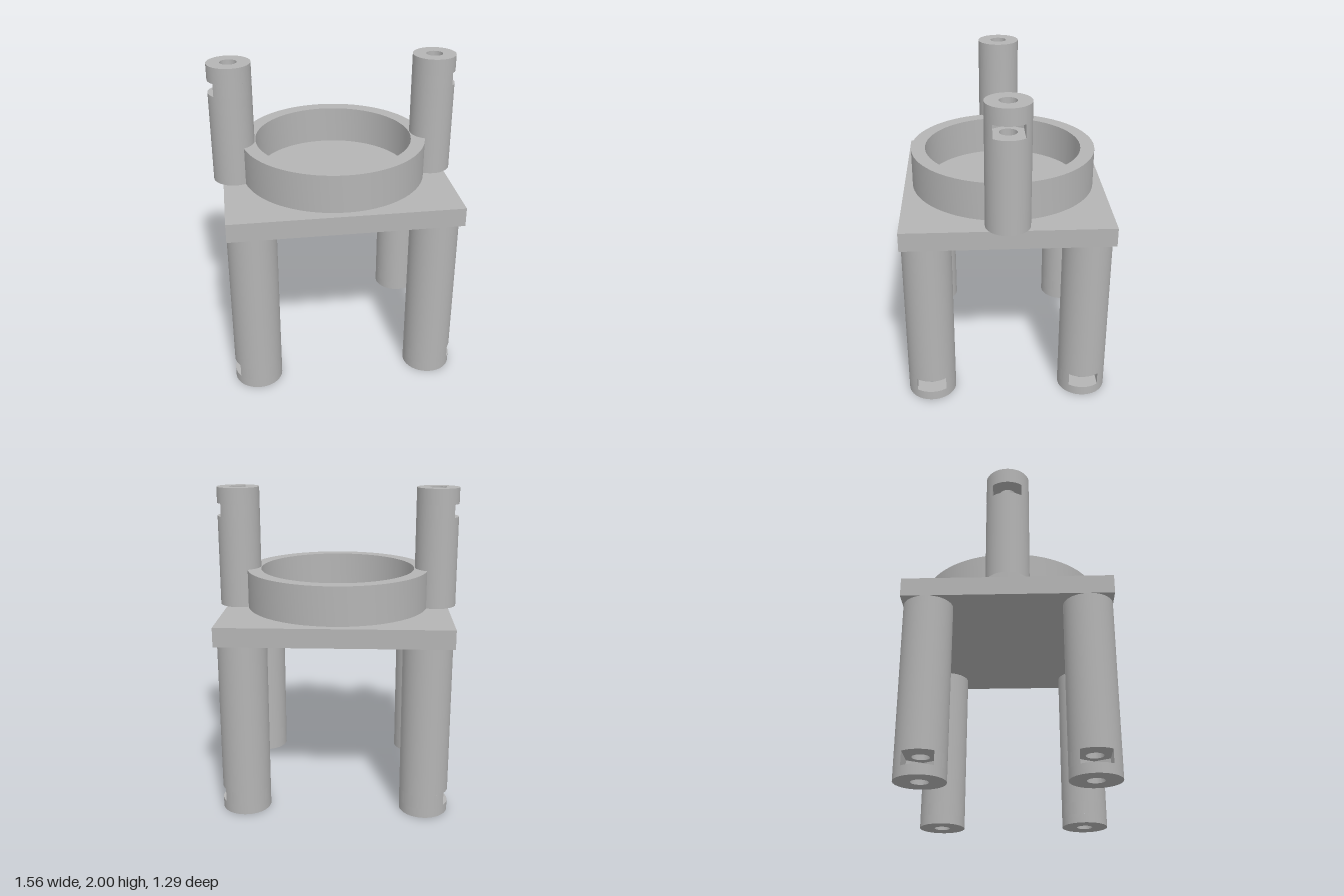
import * as THREE from 'three';
import { mergeGeometries, toCreasedNormals } from 'three/addons/utils/BufferGeometryUtils.js';

const SEG = 40;
const SLOT_W = 0.0925;                          // half width of the hex nut slot
const SLOT_R = SLOT_W / Math.cos(Math.PI / 6);  // its corner radius
const HOLE_R = 0.053;

// circle outline, optionally with a round hole
function disc(r, hole = 0) {
  const s = new THREE.Shape();
  s.absarc(0, 0, r, 0, Math.PI * 2, false);
  return hole ? bore(s, hole) : s;
}

function bore(shape, r) {
  const h = new THREE.Path();
  h.absarc(0, 0, r, 0, Math.PI * 2, true);
  shape.holes.push(h);
  return shape;
}

// upright walls of a shape between two heights, without end caps
function walls(shape, y0, y1) {
  const e = new THREE.ExtrudeGeometry(shape, { depth: y1 - y0, bevelEnabled: false, curveSegments: SEG });
  const side = e.groups[1];
  const pos = e.attributes.position.array.slice(side.start * 3, (side.start + side.count) * 3);
  const g = new THREE.BufferGeometry();
  g.setAttribute('position', new THREE.BufferAttribute(pos, 3));
  return g.rotateX(-Math.PI / 2).translate(0, y0, 0);
}

// flat face of a shape at one height, facing up (1) or down (-1)
function cap(shape, y, facing) {
  const g = new THREE.ShapeGeometry(shape, SEG).toNonIndexed();
  g.deleteAttribute('uv');
  g.deleteAttribute('normal');
  return g.rotateX(-facing * Math.PI / 2).translate(0, y, 0);
}

function join(parts) {
  return toCreasedNormals(mergeGeometries(parts), 0.5);
}

// round post with a screw hole at y = 0 and a nut slot opening to +x
function postGeometry(r, height, lo, hi, holeDepth) {
  const a = Math.asin(SLOT_W / r);
  const slotted = new THREE.Shape();
  slotted.absarc(0, 0, r, a, Math.PI * 2 - a, false);
  slotted.lineTo(-SLOT_R / 2, -SLOT_W);
  slotted.lineTo(-SLOT_R, 0);
  slotted.lineTo(-SLOT_R / 2, SLOT_W);
  slotted.closePath();

  const slot = new THREE.Shape();
  slot.absarc(0, 0, r, -a, a, false);
  slot.lineTo(-SLOT_R / 2, SLOT_W);
  slot.lineTo(-SLOT_R, 0);
  slot.lineTo(-SLOT_R / 2, -SLOT_W);
  slot.closePath();
  bore(slot, HOLE_R);

  const tube = disc(r, HOLE_R);
  return join([
    cap(tube, 0, -1),
    walls(tube, 0, lo),
    cap(slot, lo, 1),
    walls(slotted, lo, hi),
    cap(slot, hi, -1),
    walls(tube, hi, holeDepth),
    cap(disc(HOLE_R), holeDepth, -1),
    walls(disc(r), holeDepth, height),
  ]);
}

export function createModel() {
  const model = new THREE.Group();
  model.name = 'mountingStand';
  const grey = new THREE.MeshStandardMaterial({ color: 0xb4b4b4 });
  grey.name = 'grey';

  const add = (name, geometry, x = 0, y = 0, z = 0) => {
    const m = new THREE.Mesh(geometry, grey);
    m.name = name;
    m.position.set(x, y, z);
    model.add(m);
    return m;
  };

  // base plate
  add('plate', new THREE.BoxGeometry(1.446, 0.12, 1.29), 0, 1.17, 0);

  // round holder on the plate
  const ring = disc(0.593, 0.503);
  add('holderRing', join([walls(ring, 1.23, 1.476), cap(ring, 1.476, 1)]));

  // four legs, slots facing outwards
  const leg = postGeometry(0.153, 1.11, 0.061, 0.145, 0.3);
  // two upper posts, the same part upside down
  const post = postGeometry(0.137, 0.77, 0.103, 0.185, 0.3);

  for (const side of [1, -1]) {
    const name = side > 0 ? 'left' : 'right';
    for (const end of [1, -1]) {
      const m = add(name + (end > 0 ? 'FrontLeg' : 'BackLeg'), leg, side * 0.57, 0, end * 0.492);
      if (side < 0) m.rotation.y = Math.PI;
    }
    const p = add(name + 'Post', post, side * 0.645, 2, 0);
    if (side > 0) p.rotation.x = Math.PI;
    else p.rotation.z = Math.PI;
  }
  return model;
}
